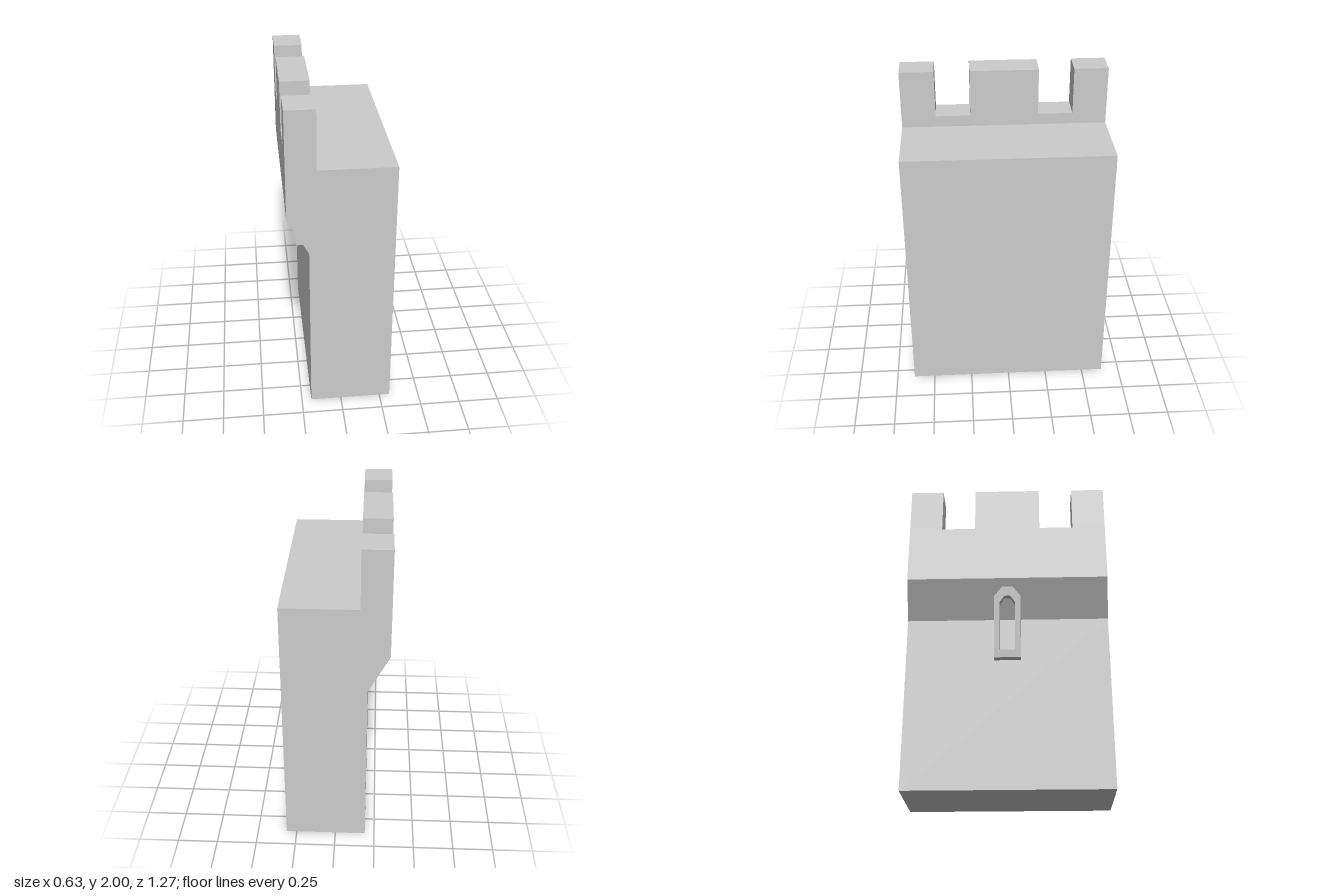
import * as THREE from 'three';

const material = new THREE.MeshStandardMaterial({ color: 0xcccccc, flatShading: true });
const HALF = 0.635;      // half length of the wall along z
const OUTER = -0.317;    // overhanging outer face
const PARAPET = -0.142;  // inner face of the parapet

function shapeFrom(points) {
  return new THREE.Shape(points.map(([x, y]) => new THREE.Vector2(x, y)));
}

function addMesh(group, geometry, name) {
  const mesh = new THREE.Mesh(geometry, material);
  mesh.name = name;
  group.add(mesh);
  return mesh;
}

// Pointed window outline, drawn in (z, y)
function pointedOutline(halfWidth, bottom, shoulder, apex) {
  return [
    [-halfWidth, bottom], [halfWidth, bottom], [halfWidth, shoulder],
    [0.38 * halfWidth, apex], [-0.38 * halfWidth, apex], [-halfWidth, shoulder],
  ];
}

export function createModel() {
  const model = new THREE.Group();
  model.name = 'castleWall';

  // Wall section with the overhang and the low parapet, run along z
  const section = shapeFrom([
    [-0.19, 0], [0.315, 0], [0.315, 1.64], [PARAPET, 1.64],
    [PARAPET, 1.71], [OUTER, 1.71], [OUTER, 1.338], [-0.19, 1.105],
  ]);
  const wall = new THREE.ExtrudeGeometry(section, { depth: 2 * HALF, bevelEnabled: false });
  wall.translate(0, 0, -HALF);
  addMesh(model, wall, 'wall');

  // Merlons: one wide in the middle, a narrow one at each end
  for (const [name, z0, z1] of [
    ['backMerlon', -HALF, -0.425],
    ['middleMerlon', -0.21, 0.21],
    ['frontMerlon', 0.425, HALF],
  ]) {
    const box = new THREE.BoxGeometry(PARAPET - OUTER, 0.29, z1 - z0);
    addMesh(model, box, name).position.set((OUTER + PARAPET) / 2, 1.855, (z0 + z1) / 2);
  }

  // Window surround: the outer face leans out until it meets the overhang
  const surround = shapeFrom(pointedOutline(0.083, 0.825, 1.225, 1.288));
  surround.holes.push(shapeFrom(pointedOutline(0.048, 0.875, 1.185, 1.225)));
  const frame = new THREE.ExtrudeGeometry(surround, { depth: 1, bevelEnabled: false });
  frame.rotateY(-Math.PI / 2);
  const p = frame.attributes.position;
  for (let i = 0; i < p.count; i++) {
    const lean = -0.235 - (p.getY(i) - 0.825) * 0.14;
    p.setX(i, p.getX(i) < -0.5 ? lean : -0.18);
  }
  frame.computeVertexNormals();
  addMesh(model, frame, 'windowSurround');

  return model;
}
